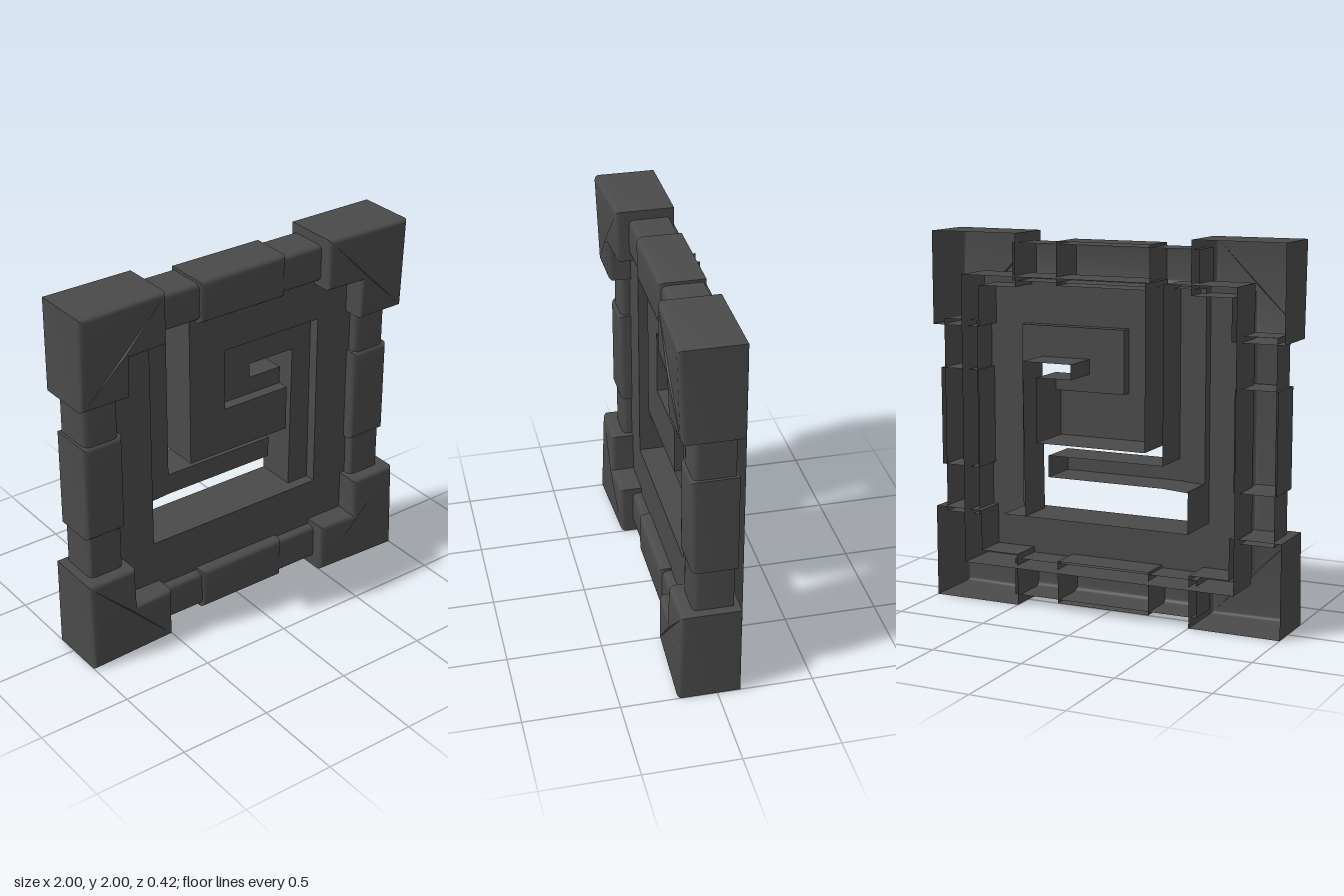
import * as THREE from 'three';
import { toCreasedNormals } from 'three/addons/utils/BufferGeometryUtils.js';

const material = new THREE.MeshStandardMaterial({ color: 0x4a4a4a, side: THREE.DoubleSide });
const BACK = -0.21, FACE = 0.07, FLOOR = 0.01;

function surface(name, positions) {
  const g = new THREE.BufferGeometry();
  g.setAttribute('position', new THREE.Float32BufferAttribute(positions, 3));
  g.computeVertexNormals();
  const mesh = new THREE.Mesh(toCreasedNormals(g, 0.7), material);
  mesh.name = name;
  return mesh;
}

function quad(out, a, b, c, d) {
  out.push(...a, ...b, ...c, ...a, ...c, ...d);
}

// Flat cap over a counter-clockwise loop of 3D points
function cap(out, loop) {
  const flat = loop.map(p => new THREE.Vector2(p[0], p[1]));
  for (const tri of THREE.ShapeUtils.triangulateShape(flat, [])) {
    for (const i of tri) out.push(...loop[i]);
  }
}

// Move a right-angled, counter-clockwise outline inward by d
function inset(outline, d) {
  const n = outline.length;
  const normal = (a, b) => {
    const l = Math.hypot(b[0] - a[0], b[1] - a[1]);
    return [-(b[1] - a[1]) / l, (b[0] - a[0]) / l];
  };
  return outline.map((p, i) => {
    const m = normal(outline[(i + n - 1) % n], p), k = normal(p, outline[(i + 1) % n]);
    return [p[0] + d * (m[0] + k[0]), p[1] + d * (m[1] + k[1])];
  });
}

// Block with a rounded front edge and an open back
function shell(name, outline, back, front, radius, rise = () => 0) {
  const out = [], loops = [outline.map(([x, y]) => [x, y, back])];
  for (let i = 0; i <= 4; i++) {
    const t = i / 4 * Math.PI / 2;
    loops.push(inset(outline, radius * (1 - Math.cos(t)))
      .map(([x, y]) => [x, y, front - radius * (1 - Math.sin(t)) + rise(x, y)]));
  }
  for (let k = 0; k < loops.length - 1; k++) {
    outline.forEach((_, i) => {
      const j = (i + 1) % outline.length;
      quad(out, loops[k][i], loops[k][j], loops[k + 1][j], loops[k + 1][i]);
    });
  }
  cap(out, loops[loops.length - 1]);
  return surface(name, out);
}

// Flat panel with a wall behind each edge; depths[i] is the wall's back z (null for none)
function panel(name, outline, z, depths) {
  const out = [];
  cap(out, outline.map(([x, y]) => [x, y, z]));
  outline.forEach((a, i) => {
    const b = outline[(i + 1) % outline.length], d = depths[i];
    if (d !== null) quad(out, [...a, d], [...b, d], [...b, z], [...a, z]);
  });
  return surface(name, out);
}

const rect = (x0, x1, y0, y1) => [[x0, y0], [x1, y0], [x1, y1], [x0, y1]];

export function createModel() {
  const model = new THREE.Group();
  model.name = 'squareSpiralPanel';

  // Frame: the same side and corner, turned four times
  const corner = [[1, 0.5], [1, 1], [0.5, 1], [0.5, 0.72], [0.72, 0.72], [0.72, 0.5]];
  for (let k = 0; k < 4; k++) {
    const side = new THREE.Group();
    side.name = 'frameSide';
    side.position.y = 1;
    side.rotation.z = k * Math.PI / 2;
    side.add(
      shell('rail', rect(-0.53, 0.53, 0.75, 0.95), -0.09, 0.12, 0.03),
      shell('middleBlock', rect(-0.265, 0.265, 0.735, 0.965), -0.105, 0.135, 0.03),
      shell('cornerBlock', corner, -0.12, 0.19, 0.025,
        (x, y) => 0.04 * (Math.min(x, y) - 0.5))
    );
    model.add(side);
  }

  // Raised spiral band inside the frame
  const rim = -0.18;
  model.add(panel('spiralBand', [
    [-0.77, 1.78], [-0.77, 0.22], [0.79, 0.22], [0.79, 1.78],
    [-0.29, 1.78], [-0.29, 0.92], [0.33, 0.92], [0.33, 1.17],
    [-0.07, 1.17], [-0.07, 1.51], [0.53, 1.51], [0.53, 0.52],
    [-0.53, 0.52], [-0.53, 1.78]
  ], FACE, [
    rim, rim, rim, rim, BACK, BACK, BACK, FLOOR, FLOOR, FLOOR, FLOOR, BACK, FLOOR, rim
  ]));

  // Wall of the band below the lower ledge
  model.add(surface('bandWall', (() => {
    const out = [];
    quad(out, [-0.53, 0.52, BACK], [-0.53, 0.74, BACK], [-0.53, 0.74, FACE], [-0.53, 0.52, FACE]);
    return out;
  })()));

  // Sunken ledge along the left of the band, turning into a foot
  model.add(panel('outerLedge', [
    [-0.53, 1.78], [-0.53, 0.735], [-0.39, 0.745], [0.26, 0.745], [0.26, 0.86], [-0.39, 0.86], [-0.39, 1.78]
  ], FLOOR, [null, BACK, BACK, BACK, BACK, BACK, rim]));

  // Sunken ledge curling into the centre
  model.add(panel('innerLedge', [
    [-0.07, 1.51], [-0.07, 1.17], [0.33, 1.17], [0.33, 1.265], [0.13, 1.265],
    [0.13, 1.345], [0.41, 1.345], [0.4, 0.52], [0.53, 0.52], [0.53, 1.51]
  ], FLOOR, [null, null, BACK, BACK, BACK, BACK, BACK, BACK, null, null]));

  return model;
}
